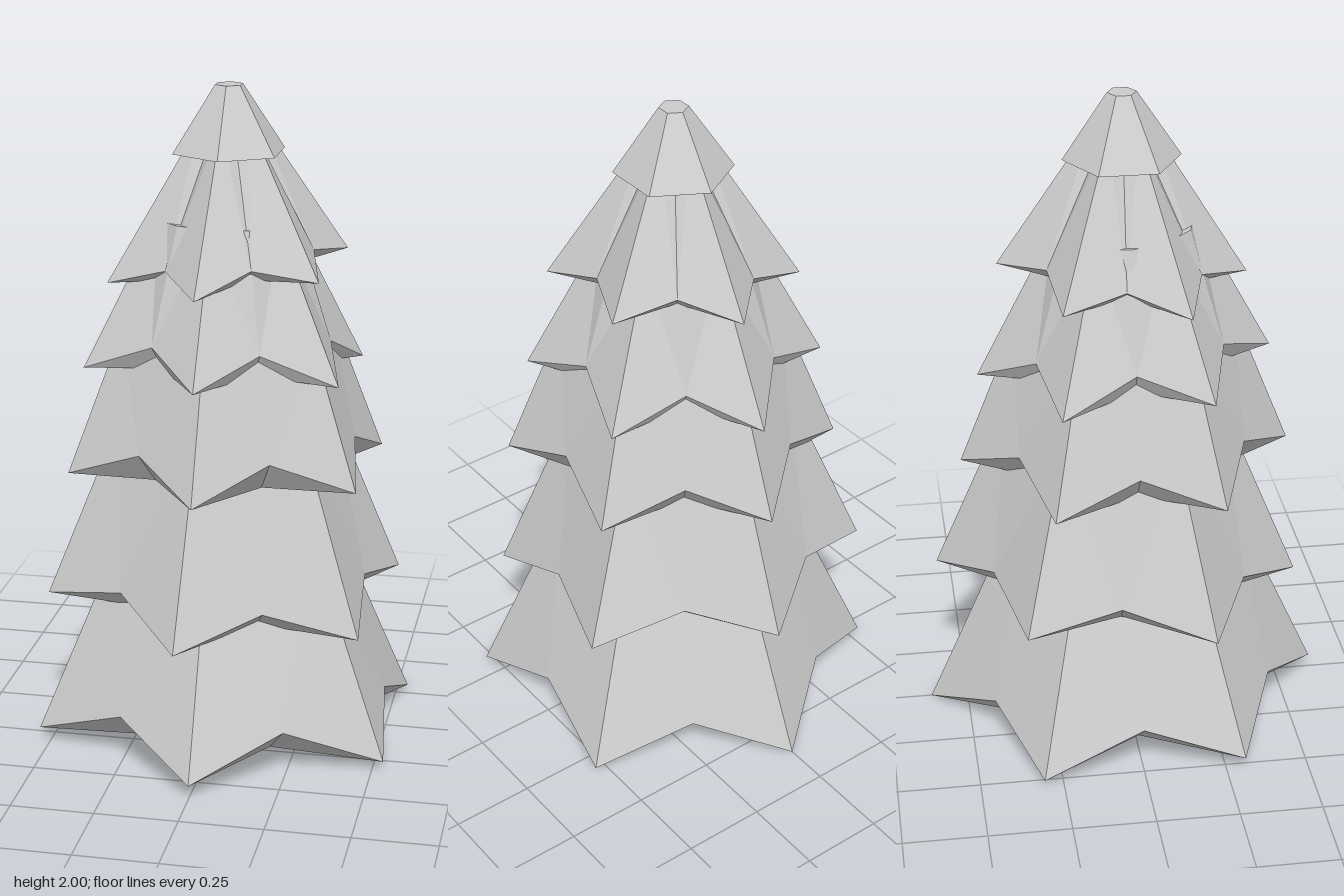
import * as THREE from 'three';

const SIDES = 6;
const APOTHEM = Math.cos(Math.PI / SIDES);

// Ring of 12 points: corners on even steps, notches between them on odd steps.
// A plain hexagon has its notches on the middle of its edges.
function ring(r, y, notchR = r * APOTHEM, notchY = y) {
  return Array.from({ length: SIDES * 2 }, (_, i) => {
    const a = (i * Math.PI) / SIDES;
    const rad = i % 2 ? notchR : r;
    return new THREE.Vector3(Math.sin(a) * rad, i % 2 ? notchY : y, Math.cos(a) * rad);
  });
}

// Skins consecutive rings, with the diagonals mirrored about every corner.
function loft(rings) {
  const pos = [];
  const tri = (...pts) => {
    if (new THREE.Triangle(...pts).getArea() > 1e-7) pts.forEach((p) => pos.push(p.x, p.y, p.z));
  };
  for (let k = 0; k < rings.length - 1; k++) {
    const a = rings[k], b = rings[k + 1], n = a.length;
    for (let i = 0; i < n; i++) {
      const j = (i + 1) % n;
      if (i % 2 === 0) {
        tri(a[i], a[j], b[i]);
        tri(a[j], b[j], b[i]);
      } else {
        tri(a[i], a[j], b[j]);
        tri(a[i], b[j], b[i]);
      }
    }
  }
  const geo = new THREE.BufferGeometry();
  geo.setAttribute('position', new THREE.Float32BufferAttribute(pos, 3));
  geo.computeVertexNormals();
  return geo;
}

// One skirt of branches: hollow below, star-shaped hem, narrow flat top.
function tier({ r, y, notchR, notchY, rimR, rimY, topR, topNotchR, topY, recess, turn = 0, tiltX = 0, tiltZ = 0, x = 0, z = 0 }) {
  const rings = [
    ring(0, rimY + recess),
    ring(rimR * 1.04, rimY + recess),
    ring(rimR, rimY),
    ring(r, y, notchR, notchY),
    ring(topR, topY, topNotchR),
    ring(0, topY),
  ];
  // Turn each skirt and lean it a little
  const up = new THREE.Vector3(0, 1, 0);
  rings.flat().forEach((p) => {
    p.applyAxisAngle(up, turn);
    p.y += p.x * tiltX + p.z * tiltZ;
    p.x += x;
    p.z += z;
  });
  return loft(rings);
}

const TIERS = [
  { r: 0.615, y: 0.022, notchR: 0.495, notchY: 0.138, rimR: 0.44, rimY: 0.045, topR: 0.35, topY: 0.62, recess: 0.21, tiltX: -0.015, tiltZ: 0.035 },
  { r: 0.562, y: 0.447, notchR: 0.44, notchY: 0.53, rimR: 0.42, rimY: 0.465, topR: 0.33, topY: 1.0, recess: 0.1, turn: -0.09, tiltX: -0.04, tiltZ: -0.055, x: -0.01, z: -0.02 },
  { r: 0.503, y: 0.853, notchR: 0.39, notchY: 0.95, rimR: 0.37, rimY: 0.86, topR: 0.33, topY: 1.29, recess: 0.08, turn: -0.02, tiltZ: 0.02, z: 0.008 },
  { r: 0.442, y: 1.16, notchR: 0.32, notchY: 1.25, rimR: 0.32, rimY: 1.18, topR: 0.21, topNotchR: 0.21, topY: 1.6, recess: 0.08, turn: -0.02, tiltX: -0.02, tiltZ: 0.06, x: -0.008, z: 0.005 },
  { r: 0.37, y: 1.458, notchR: 0.26, notchY: 1.505, rimR: 0.25, rimY: 1.468, topR: 0.085, topNotchR: 0.05, topY: 1.9, recess: 0.06, turn: -0.08, tiltX: 0.07, tiltZ: -0.05 },
  { r: 0.175, y: 1.803, rimR: 0.13, rimY: 1.81, topR: 0.043, topY: 2.0, recess: 0.03 },
];

export function createModel() {
  const model = new THREE.Group();
  model.name = 'firTree';
  const material = new THREE.MeshStandardMaterial({ color: 0xcccccc, flatShading: true });
  TIERS.forEach((t, i) => {
    const mesh = new THREE.Mesh(tier(t), material);
    mesh.name = i === TIERS.length - 1 ? 'treeTop' : `branchTier${i + 1}`;
    model.add(mesh);
  });
  return model;
}
